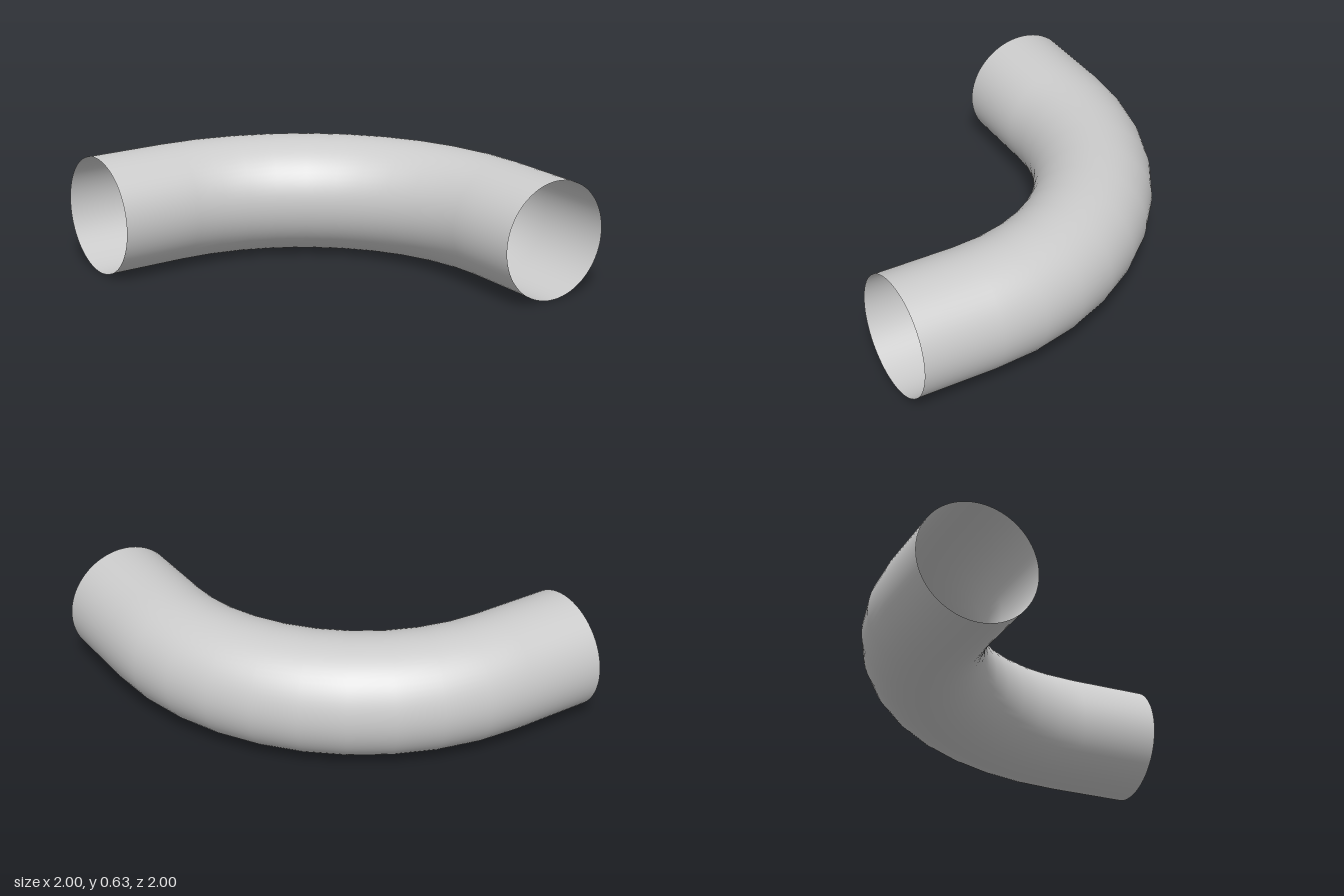
import * as THREE from 'three';

const TUBE = 0.314;          // pipe radius
const BEND = 1.256;          // bend radius at the centre line
const AXIS = 1 - TUBE;       // distance of both straight axes from the middle
const CENTRE = AXIS - BEND;  // bend centre is at x = CENTRE, z = -CENTRE
const SIDES = 64;

export function createModel() {
  const group = new THREE.Group();
  group.name = 'pipeElbow';
  const material = new THREE.MeshStandardMaterial({ color: 0xcccccc, side: THREE.DoubleSide });

  const add = (name, geometry, x, z) => {
    const mesh = new THREE.Mesh(geometry, material);
    mesh.name = name;
    mesh.position.set(x, TUBE, z);
    group.add(mesh);
  };

  // Quarter-turn bend, open at both ends
  add('bend', new THREE.TorusGeometry(BEND, TUBE, SIDES, 10, Math.PI / 2).rotateX(-Math.PI / 2), CENTRE, -CENTRE);

  // Open straight ends leading out of the bend
  const length = 1 + CENTRE;
  const straight = () => new THREE.CylinderGeometry(TUBE, TUBE, length, SIDES, 1, true);
  add('frontStraight', straight().rotateX(Math.PI / 2), AXIS, 1 - length / 2);
  add('sideStraight', straight().rotateZ(Math.PI / 2), -1 + length / 2, -AXIS);

  return group;
}
